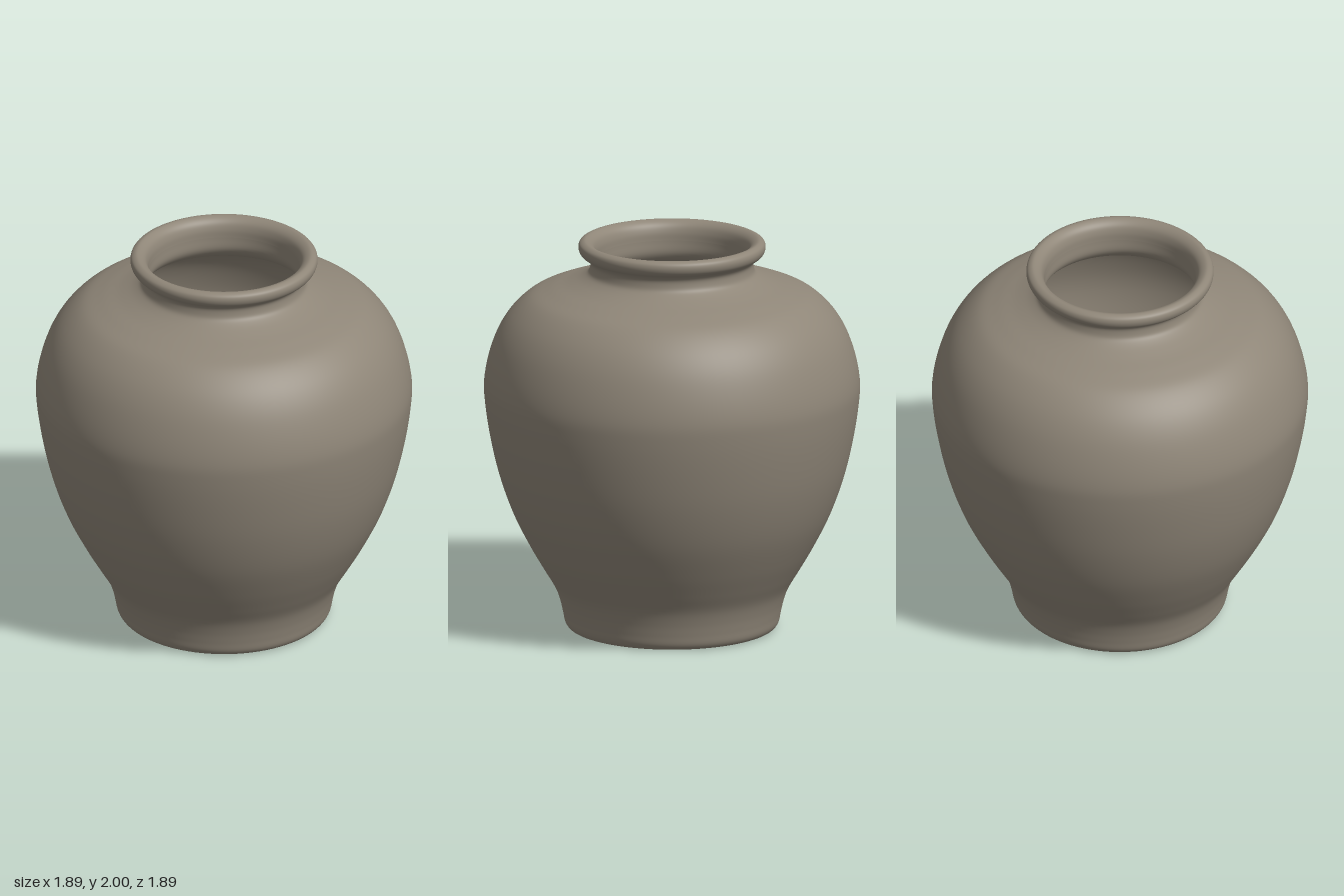
import * as THREE from 'three';

const clay = new THREE.MeshStandardMaterial({ color: 0x8f8678 });
clay.name = 'stoneware clay';

// Smooth profile through [radius, height] points
function profile(points, divisions) {
  const curve = new THREE.CatmullRomCurve3(
    points.map(([r, y]) => new THREE.Vector3(r, y, 0)), false, 'centripetal');
  return curve.getPoints(divisions).map(p => new THREE.Vector2(Math.max(p.x, 0), p.y));
}

function turned(name, points) {
  const mesh = new THREE.Mesh(new THREE.LatheGeometry(points, 96), clay);
  mesh.name = name;
  return mesh;
}

export function createModel() {
  const jar = new THREE.Group();
  jar.name = 'jar';

  // Outer wall from the foot up to the base of the neck, over the rolled rim and into the mouth
  const outer = [
    [0.49, 0], [0.52, 0.008], [0.537, 0.03], [0.548, 0.08], [0.562, 0.14], [0.587, 0.21],
    [0.64, 0.3], [0.71, 0.42], [0.8, 0.6], [0.87, 0.8], [0.916, 1.0], [0.941, 1.17],
    [0.945, 1.27], [0.922, 1.4], [0.875, 1.53], [0.81, 1.63], [0.72, 1.71], [0.62, 1.752],
    [0.52, 1.784], [0.45, 1.814], [0.42, 1.837], [0.411, 1.865], [0.412, 1.89],
    [0.428, 1.912], [0.452, 1.926], [0.466, 1.944], [0.471, 1.968], [0.464, 1.988], [0.44, 2.0],
    [0.415, 1.992], [0.395, 1.973], [0.383, 1.94], [0.38, 1.9],
  ];
  jar.add(turned('bodyAndRim', profile(outer, 180)));

  // Hollow interior down to the floor
  const inner = [
    [0.38, 1.9], [0.382, 1.83], [0.42, 1.78], [0.52, 1.735], [0.68, 1.675], [0.8, 1.56],
    [0.87, 1.4], [0.894, 1.25], [0.868, 1.0], [0.82, 0.8], [0.75, 0.6], [0.655, 0.4],
    [0.54, 0.2], [0.49, 0.1], [0.43, 0.06],
  ];
  jar.add(turned('interior', profile(inner, 80)));

  // Flat discs close the inside floor and the underside
  jar.add(turned('floor', [new THREE.Vector2(0.43, 0.06), new THREE.Vector2(0, 0.06)]));
  jar.add(turned('base', [new THREE.Vector2(0, 0), new THREE.Vector2(0.49, 0)]));

  return jar;
}
